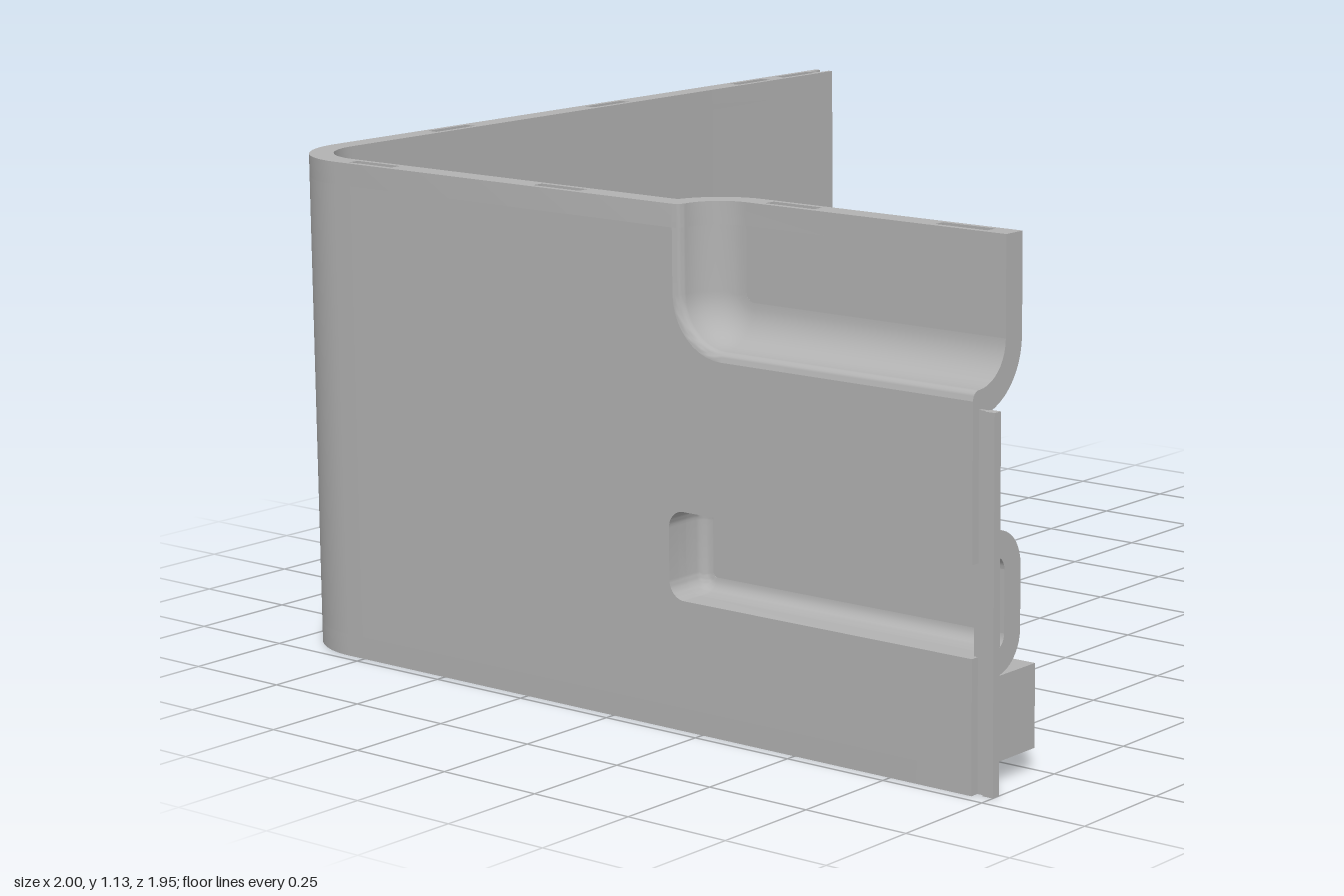
import * as THREE from 'three';
import { toCreasedNormals } from 'three/addons/utils/BufferGeometryUtils.js';

const X1 = 0.957, Z = 0.977, T = 0.055, R = 0.2, TOP = 1.13, CAP = 1.08, LIP = 0.05;
const DEPTH = 0.109; // how far the recesses sink into the front wall

const grey = new THREE.MeshStandardMaterial({ color: 0xb2b2b2, side: THREE.DoubleSide });
grey.name = 'grey plastic';

// points on an arc, angles in degrees
function arc(cx, cy, r, a0, a1, n = 10) {
  const out = [];
  for (let i = 0; i <= n; i++) {
    const a = THREE.MathUtils.degToRad(a0 + (a1 - a0) * i / n);
    out.push([cx + r * Math.cos(a), cy + r * Math.sin(a)]);
  }
  return out;
}

const shapeOf = pts => new THREE.Shape(pts.map(p => new THREE.Vector2(p[0], p[1])));
const rect = (x, z, w, d) => [[x - w / 2, z - d / 2], [x + w / 2, z - d / 2], [x + w / 2, z + d / 2], [x - w / 2, z + d / 2]];

function part(name, geo) {
  const mesh = new THREE.Mesh(toCreasedNormals(geo, 0.6), grey);
  mesh.name = name;
  return mesh;
}

// extrude an (x, z) plan between two heights
function fromPlan(name, pts, y0, y1, holes = []) {
  const shape = shapeOf(pts);
  shape.holes = holes.map(shapeOf);
  const geo = new THREE.ExtrudeGeometry(shape, { depth: y1 - y0, bevelEnabled: false });
  geo.rotateX(Math.PI / 2).translate(0, y1, 0);
  return part(name, geo);
}

// extrude an (x, y) outline between two depths
function fromFront(name, pts, z0, z1) {
  const geo = new THREE.ExtrudeGeometry(shapeOf(pts), { depth: z1 - z0, bevelEnabled: false });
  return part(name, geo.translate(0, 0, z0));
}

// plan of the side wall and rounded corner; front is the outline of the front end
function wallPlan(t, front, grooved) {
  const back = grooved
    ? [[-1 + t, -Z], [-0.957, -Z], [-0.957, -0.94], [-0.985, -0.94], [-0.985, -Z]]
    : [[-1 + t, -0.94], [-0.985, -0.94], [-0.985, -Z]];
  return [[-1, -Z], ...arc(-1 + R, Z - R, R, 180, 90, 16), ...front,
    ...arc(-1 + R, Z - R, R - t, 90, 180, 16), ...back];
}

// sweep a closed (inward, z) profile along frames [x, y, nx, ny]
function sweep(name, frames, profile) {
  const n = profile.length, pos = [], idx = [];
  for (const [x, y, nx, ny] of frames)
    for (const [d, z] of profile) pos.push(x + nx * d, y + ny * d, Z + z);
  for (let i = 0; i < frames.length - 1; i++)
    for (let j = 0; j < n; j++) {
      const a = i * n + j, b = i * n + (j + 1) % n;
      idx.push(a, b, a + n, b, b + n, a + n);
    }
  const caps = THREE.ShapeUtils.triangulateShape(profile.map(p => new THREE.Vector2(p[0], p[1])), []);
  const last = (frames.length - 1) * n;
  for (const [a, b, c] of caps) idx.push(a, b, c, last + a, last + c, last + b);
  const geo = new THREE.BufferGeometry();
  geo.setAttribute('position', new THREE.Float32BufferAttribute(pos, 3));
  geo.setIndex(idx);
  return part(name, geo);
}

// rounded path corner with normals facing the arc's centre
const cornerFrames = (cx, cy, r, a0, a1) =>
  arc(cx, cy, r, a0, a1).map(([x, y]) => [x, y, (cx - x) / r, (cy - y) / r]);

export function createModel() {
  const group = new THREE.Group();
  group.name = 'cornerPanel';

  // upper recess: path around its rim and the S-shaped wall profile
  const rx = 0.18, ry = 0.81, rr = 0.13, flat = 0.11;
  const recessPath = [[X1, ry, 0, 1], ...cornerFrames(rx + rr, ry + rr, rr, -90, -180), [rx, CAP, 1, 0]];
  const upper = [...arc(0, -0.02, 0.02, 90, 0, 6), ...arc(flat, -0.019, 0.09, 181, 270)];
  const lower = arc(flat, -0.019, 0.145, 194.4, 270);

  // lower slot: U-shaped path, open at the free end
  const sx = 0.163, s0 = 0.285, s1 = 0.478, sr = 0.04;
  const slotPath = [[X1, s0, 0, 1], ...cornerFrames(sx + sr, s0 + sr, sr, -90, -180),
    ...cornerFrames(sx + sr, s1 - sr, sr, 180, 90), [X1, s1, 0, -1]];
  const slotProfile = [[0, -0.03], ...arc(0.03, -0.079, 0.03, 180, 270, 6),
    ...arc(0.03, -0.079, 0.085, 270, 180), [-0.055, -0.03]];

  // side wall with rounded corner
  const sideEnd = [[-0.75, Z], [-0.75, Z - T]];
  group.add(fromPlan('sideWall', wallPlan(T, sideEnd, true), LIP, CAP));

  // thin lip along the foot of both walls
  const lipT = 0.035;
  group.add(fromPlan('bottomLip', wallPlan(lipT, [[X1, Z], [X1, Z - lipT]], false), 0, LIP));

  // front wall cut out around the slot and the recess
  group.add(fromFront('frontWall', [[-0.75, LIP], [X1, LIP], ...slotPath, ...recessPath, [-0.75, CAP]], Z - T, Z));

  // recess walls and floor
  group.add(sweep('recessRim', recessPath, [...upper, ...lower.slice().reverse()]));
  const inner = rr - flat;
  group.add(fromFront('recessFloor', [[X1, ry + flat], ...arc(rx + rr, ry + rr, inner, -90, -180, 5),
    [rx + flat, CAP], [X1, CAP]], Z - DEPTH - T, Z - DEPTH));

  // slot walls and floor
  group.add(sweep('slotRim', slotPath, slotProfile.filter((p, i) => i !== slotProfile.length - 1).concat([[-0.055, -0.05], [-0.03, -0.05], [-0.03, -0.03]])));
  group.add(fromFront('slotFloor', [[X1, s0 + 0.03], ...arc(sx + sr, s0 + sr, sr - 0.03, -90, -180, 4),
    ...arc(sx + sr, s1 - sr, sr - 0.03, 180, 90, 4), [X1, s1 - 0.03]], Z - DEPTH - T, Z - DEPTH));

  // top edge with sunken peg pockets
  const front = [...upper.map(([d, z]) => [rx + d, Z + z]), [X1, Z - DEPTH], [X1, Z - DEPTH - T],
    ...lower.slice().reverse().map(([d, z]) => [rx + d, Z + z])];
  const pockets = [
    ...[-0.86, -0.675, -0.125, 0.425].map(z => rect(-0.972, z, 0.027, 0.13)),
    ...[-0.705, -0.155].map(x => rect(x, 0.949, 0.13, 0.027)),
    ...[0.395, 0.835].map(x => rect(x, 0.84, 0.13, 0.027)),
  ];
  group.add(fromPlan('topEdge', wallPlan(T, front, true), CAP, TOP, pockets));

  // inner ledge along the foot of both walls
  group.add(fromPlan('ledge', [[-0.97, -0.9], ...arc(-1 + R, Z - R, 0.17, 180, 90, 12),
    [X1, 0.947], [X1, 0.76], [-0.855, 0.76], [-0.855, -0.9]], LIP, 0.23));

  // locking tongue at the free end of the front wall
  group.add(fromPlan('tongue', [[X1 - 0.01, 0.948], [0.975, 0.948], [0.975, 0.942], [1, 0.942],
    [1, 0.963], [0.975, 0.963], [0.975, 0.957], [X1 - 0.01, 0.957]], 0, 0.79));

  return group;
}
